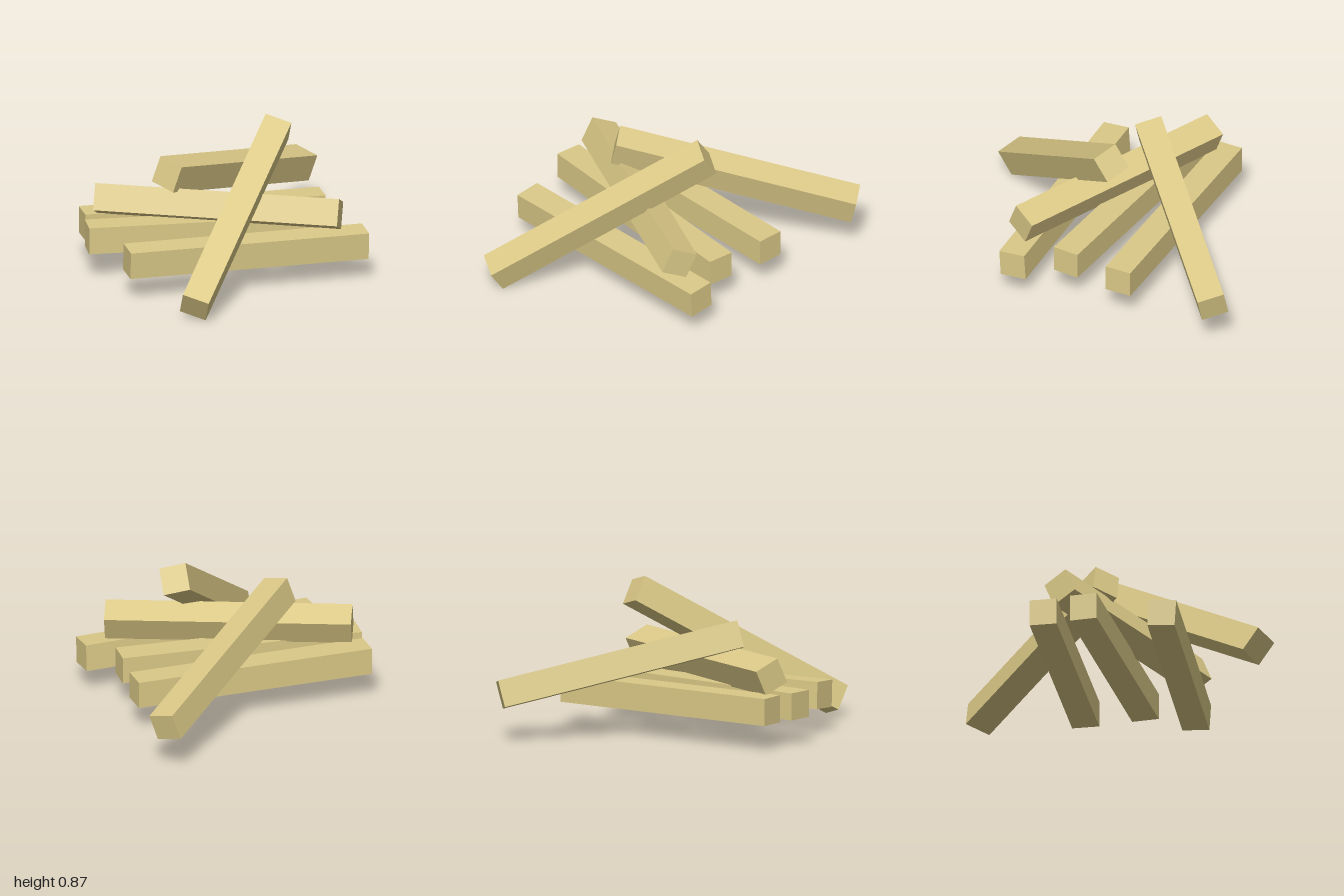
import * as THREE from 'three';

export function createModel() {
  const group = new THREE.Group();
  group.name = 'logPile';
  const wood = new THREE.MeshStandardMaterial({ color: 0xdbc987 });
  wood.name = 'paleWood';

  // Every beam is the same squared timber, laid along its own x axis
  const beamGeometry = new THREE.BoxGeometry(1.395, 0.155, 0.155);

  // Place a beam by its centre, its long direction and its approximate up direction
  function addBeam(name, centre, along, up = [0, 1, 0]) {
    const x = new THREE.Vector3(...along).normalize();
    const z = new THREE.Vector3().crossVectors(x, new THREE.Vector3(...up)).normalize();
    const y = new THREE.Vector3().crossVectors(z, x);
    const beam = new THREE.Mesh(beamGeometry, wood);
    beam.name = name;
    beam.quaternion.setFromRotationMatrix(new THREE.Matrix4().makeBasis(x, y, z));
    beam.position.set(...centre);
    group.add(beam);
  }

  // Lower layer, nearly parallel
  addBeam('middleBeam', [-0.083, 0.228, 0.025], [1, 0, 0]);
  addBeam('backBeam', [-0.075, 0.228, -0.268], [1.39, 0, -0.113]);
  addBeam('frontBeam', [0.073, 0.21, 0.362], [1.387, -0.01, -0.157], [0, 0.155, 0.009]);

  // Rolled beam lying across the lower layer
  addBeam('crossBeam', [-0.043, 0.395, 0.094], [1.32, -0.015, 0.455], [0.02, 0.14, -0.06]);

  // Leaning beams
  addBeam('frontLeaningBeam', [0.005, 0.435, 0.412], [0.64, 0.695, -1.025], [0.005, 0.13, 0.085]);
  addBeam('backLeaningBeam', [0.14, 0.424, -0.452], [0.935, -0.315, -0.985], [0.05, 0.147, 0]);

  return group;
}
